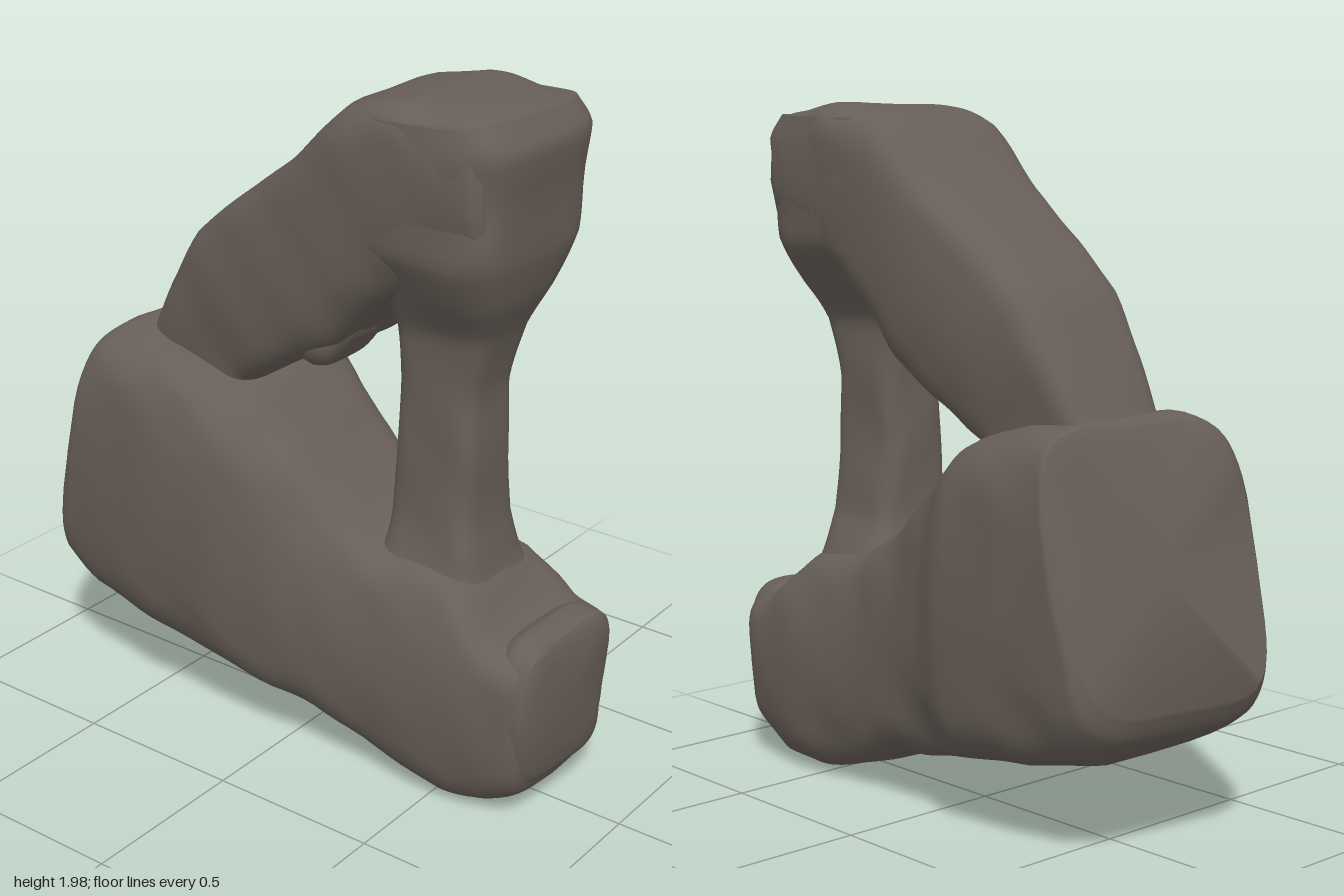
import * as THREE from 'three';
import { toCreasedNormals } from 'three/addons/utils/BufferGeometryUtils.js';

const RING = 48;

// Smooth, repeatable weathering of the stone surface
function bump(p, s) {
  const a = Math.sin(p.x * 13 + p.y * 7 + s) * Math.sin(p.y * 11 - p.z * 9 + s * 2);
  const b = Math.sin(p.z * 23 + p.x * 17 + s) * Math.sin(p.y * 21 + p.x * 8);
  return a * 0.006 + b * 0.004;
}

// Loft of rounded blocks; section = [zA, yA, zB, yB, xMin, xMax, skew, taperA, taperB]
// A and B are opposite edges of the side profile, skew turns the slice about y,
// and the tapers narrow the slice towards A and B
function loft(sections, power, steps, seed) {
  const at = (i, k) => sections[Math.max(0, Math.min(sections.length - 1, i))][k] ?? 0;
  const pos = [], index = [], rows = (sections.length - 1) * steps + 1;
  const spline = (t, k) => {
    const i = Math.min(Math.floor(t), sections.length - 2), f = t - i;
    const [a, b, c, d] = [at(i - 1, k), at(i, k), at(i + 1, k), at(i + 2, k)];
    const smooth = b + 0.5 * f * (c - a + f * (2 * a - 5 * b + 4 * c - d + f * (3 * (b - c) + d - a)));
    return 0.5 * smooth + 0.5 * (b + (c - b) * f);
  };
  const round = v => Math.sign(v) * Math.pow(Math.abs(v), 2 / power);
  const p = new THREE.Vector3();
  for (let r = 0; r < rows; r++) {
    const [zA, yA, zB, yB, x0, x1, skew, tA, tB] = [0, 1, 2, 3, 4, 5, 6, 7, 8].map(k => spline(r / steps, k));
    for (let j = 0; j < RING; j++) {
      const a = (j / RING) * Math.PI * 2;
      const u = round(Math.cos(a)), v = round(Math.sin(a));
      const narrow = 1 - (v > 0 ? tA * v : -tB * v);
      const x = (x0 + x1) / 2 + u * narrow * (x1 - x0) / 2;
      p.set(x, (yA + yB) / 2 + v * (yA - yB) / 2, (zA + zB) / 2 + v * (zA - zB) / 2 + skew * x);
      const n = bump(p, seed);
      pos.push(p.x + u * n, p.y + v * n * 0.8, p.z + n * 0.5);
    }
  }
  for (let r = 0; r < rows - 1; r++) for (let j = 0; j < RING; j++) {
    const a = r * RING + j, b = r * RING + (j + 1) % RING;
    index.push(a, b, a + RING, b, b + RING, a + RING);
  }
  // End caps
  for (const r of [0, rows - 1]) {
    const c = [0, 0, 0];
    for (let j = 0; j < RING; j++) for (let k = 0; k < 3; k++) c[k] += pos[(r * RING + j) * 3 + k] / RING;
    const m = pos.length / 3;
    pos.push(...c);
    for (let j = 0; j < RING; j++) {
      const a = r * RING + j, b = r * RING + (j + 1) % RING;
      if (r === 0) index.push(m, b, a); else index.push(m, a, b);
    }
  }
  // Turn the faces outward where the loft runs the other way
  let volume = 0;
  const A = new THREE.Vector3(), B = new THREE.Vector3(), C = new THREE.Vector3();
  for (let i = 0; i < index.length; i += 3) {
    A.fromArray(pos, index[i] * 3); B.fromArray(pos, index[i + 1] * 3); C.fromArray(pos, index[i + 2] * 3);
    volume += A.dot(B.cross(C));
  }
  if (volume < 0) index.reverse();
  const g = new THREE.BufferGeometry();
  g.setAttribute('position', new THREE.Float32BufferAttribute(pos, 3));
  g.setIndex(index);
  return toCreasedNormals(g, 0.75);
}

export function createModel() {
  const group = new THREE.Group();
  group.name = 'stoneArch';
  const stone = new THREE.MeshStandardMaterial({ color: 0x675e57 });
  stone.name = 'greyBrownStone';
  const add = (name, sections, power, steps, seed) => {
    const mesh = new THREE.Mesh(loft(sections, power, steps, seed), stone);
    mesh.name = name;
    group.add(mesh);
  };

  // Wedge-shaped base, low at the front and tall at the back
  add('base', [
    [0.815, 0.46, 0.81, 0.18, -0.18, 0.2, 0, 0, 0.1],
    [0.78, 0.52, 0.77, 0.08, -0.23, 0.26, 0, 0, 0.15],
    [0.68, 0.55, 0.67, 0.02, -0.255, 0.275, 0, 0.04, 0.18],
    [0.55, 0.68, 0.53, 0.01, -0.275, 0.285, 0, 0.14, 0.18],
    [0.28, 0.725, 0.32, 0.065, -0.285, 0.285, 0, 0.18, 0.14],
    [0.1, 0.86, 0.12, 0.135, -0.305, 0.29, 0, 0.16, 0.1],
    [-0.06, 1.01, -0.06, 0.175, -0.34, 0.315, 0, 0.1, 0.1],
    [-0.17, 1.09, -0.2, 0.2, -0.365, 0.36, 0, 0.06, 0.1],
    [-0.38, 1.15, -0.42, 0.23, -0.365, 0.365, 0, 0.06, 0.1],
    [-0.56, 1.175, -0.65, 0.285, -0.345, 0.355, 0.08, 0.04, 0.08],
    [-0.59, 1.16, -0.75, 0.36, -0.335, 0.35, 0.14, 0.03, 0.06],
    [-0.61, 1.12, -0.785, 0.43, -0.3, 0.32, 0.17, 0.03, 0.06],
  ], 5, 5, 1);

  // Raised slab with a lip across the front of the base
  add('frontLip', [
    [0.825, 0.5, 0.82, 0.2, -0.17, 0.17, 0, 0, 0.15],
    [0.81, 0.545, 0.8, 0.12, -0.215, 0.22, 0, 0.06, 0.15],
    [0.74, 0.56, 0.74, 0.07, -0.225, 0.24, 0, 0.08, 0.15],
    [0.7, 0.54, 0.7, 0.12, -0.2, 0.21, 0, 0.08, 0.15],
  ], 5, 4, 2);

  // Upright post, flaring into the base and swelling into the head
  add('post', [
    [0.62, 0.56, 0.2, 0.6, -0.22, 0.22],
    [0.58, 0.67, 0.27, 0.71, -0.16, 0.17],
    [0.56, 0.8, 0.29, 0.8, -0.14, 0.12],
    [0.56, 1.0, 0.3, 1.0, -0.13, 0.1],
    [0.56, 1.2, 0.31, 1.2, -0.13, 0.1],
    [0.6, 1.36, 0.3, 1.36, -0.14, 0.11],
    [0.65, 1.47, 0.25, 1.5, -0.21, 0.18],
    [0.685, 1.6, 0.2, 1.6, -0.27, 0.25],
    [0.69, 1.75, 0.2, 1.75, -0.275, 0.265],
    [0.705, 1.89, 0.22, 1.85, -0.275, 0.265],
    [0.66, 1.96, 0.25, 1.94, -0.265, 0.255],
  ], 4.5, 5, 3);

  // Head and sloping beam that leans back onto the base
  add('beam', [
    [0.65, 1.955, 0.66, 1.63, -0.25, 0.24, 0, 0, 0.15],
    [0.62, 1.975, 0.64, 1.55, -0.275, 0.265, 0, 0, 0.25],
    [0.5, 1.985, 0.55, 1.49, -0.28, 0.27, 0, 0, 0.25],
    [0.38, 1.99, 0.4, 1.46, -0.28, 0.27, 0, 0, 0.18],
    [0.2, 1.95, 0.28, 1.39, -0.27, 0.26, 0, 0, 0.1],
    [0.01, 1.77, 0.16, 1.26, -0.26, 0.25, 0, 0.02, 0.08],
    [-0.18, 1.63, 0.02, 1.18, -0.25, 0.24, 0, 0.06, 0.08],
    [-0.34, 1.5, -0.1, 1.11, -0.23, 0.23, 0, 0.06, 0.06],
    [-0.45, 1.33, -0.16, 1.07, -0.2, 0.2],
    [-0.54, 1.16, -0.2, 0.98, -0.18, 0.18],
  ], 5, 5, 4);

  // Rough knob hanging beneath the beam
  add('beamKnob', [
    [0.2, 1.4, 0.2, 1.3, -0.14, 0.02],
    [0.12, 1.4, 0.12, 1.2, -0.19, 0.06],
    [0.06, 1.38, 0.06, 1.18, -0.19, 0.05],
    [-0.03, 1.35, -0.03, 1.19, -0.15, 0.0],
  ], 3, 4, 5);

  return group;
}
